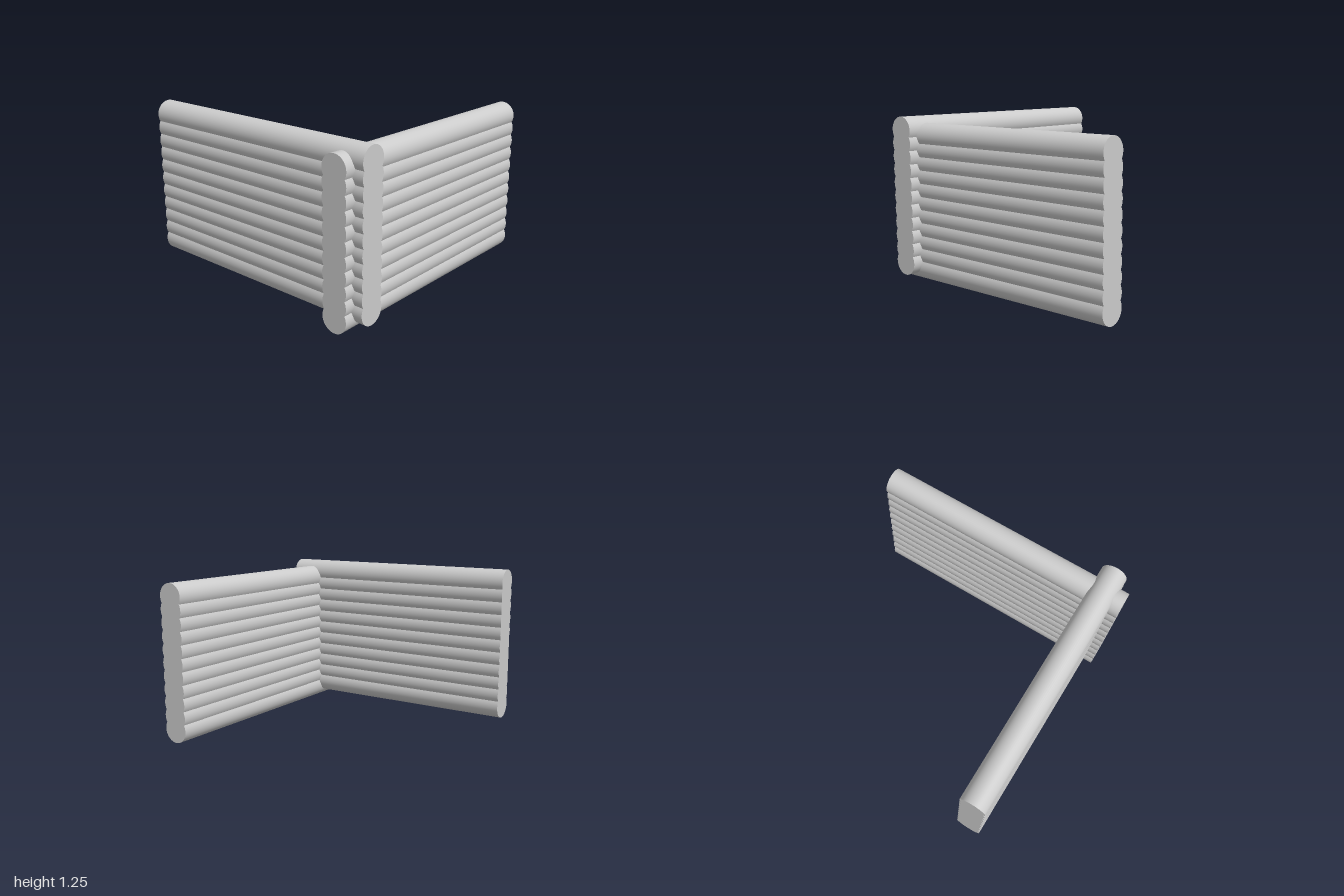
import * as THREE from 'three';
import { toCreasedNormals } from 'three/addons/utils/BufferGeometryUtils.js';

const RADIUS = 0.1;   // log radius; logs are also stacked this far apart
const LOGS = 11;
const LENGTH = 2;
const OFFSET = 0.83;  // distance of each wall from the centre

// Scalloped outline of a stack of overlapping round logs, counter-clockwise
function stackOutline() {
  const points = [];
  const arc = (log, from, to) => {
    for (let a = from; a < to; a += 7.5) {
      const t = THREE.MathUtils.degToRad(a);
      points.push(new THREE.Vector2(RADIUS * Math.cos(t), RADIUS * (log + 1 + Math.sin(t))));
    }
  };
  arc(0, 150, 390);
  for (let i = 1; i < LOGS - 1; i++) arc(i, -30, 30);
  arc(LOGS - 1, -30, 210);
  for (let i = LOGS - 2; i > 0; i--) arc(i, 150, 210);
  return new THREE.Shape(points);
}

export function createModel() {
  const group = new THREE.Group();
  group.name = 'logWallCorner';

  const material = new THREE.MeshStandardMaterial({ color: 0xcccccc });
  const extruded = new THREE.ExtrudeGeometry(stackOutline(), { depth: LENGTH, bevelEnabled: false });
  extruded.translate(0, 0, -LENGTH / 2);
  const geometry = toCreasedNormals(extruded, 0.5);

  // Side wall runs front to back
  const sideWall = new THREE.Mesh(geometry, material);
  sideWall.name = 'sideLogWall';
  sideWall.position.x = OFFSET;

  // Front wall runs across, raised half a log step so the corner interlocks
  const frontWall = new THREE.Mesh(geometry, material);
  frontWall.name = 'frontLogWall';
  frontWall.rotation.y = Math.PI / 2;
  frontWall.position.set(0, RADIUS / 2, OFFSET);

  group.add(sideWall, frontWall);
  return group;
}
